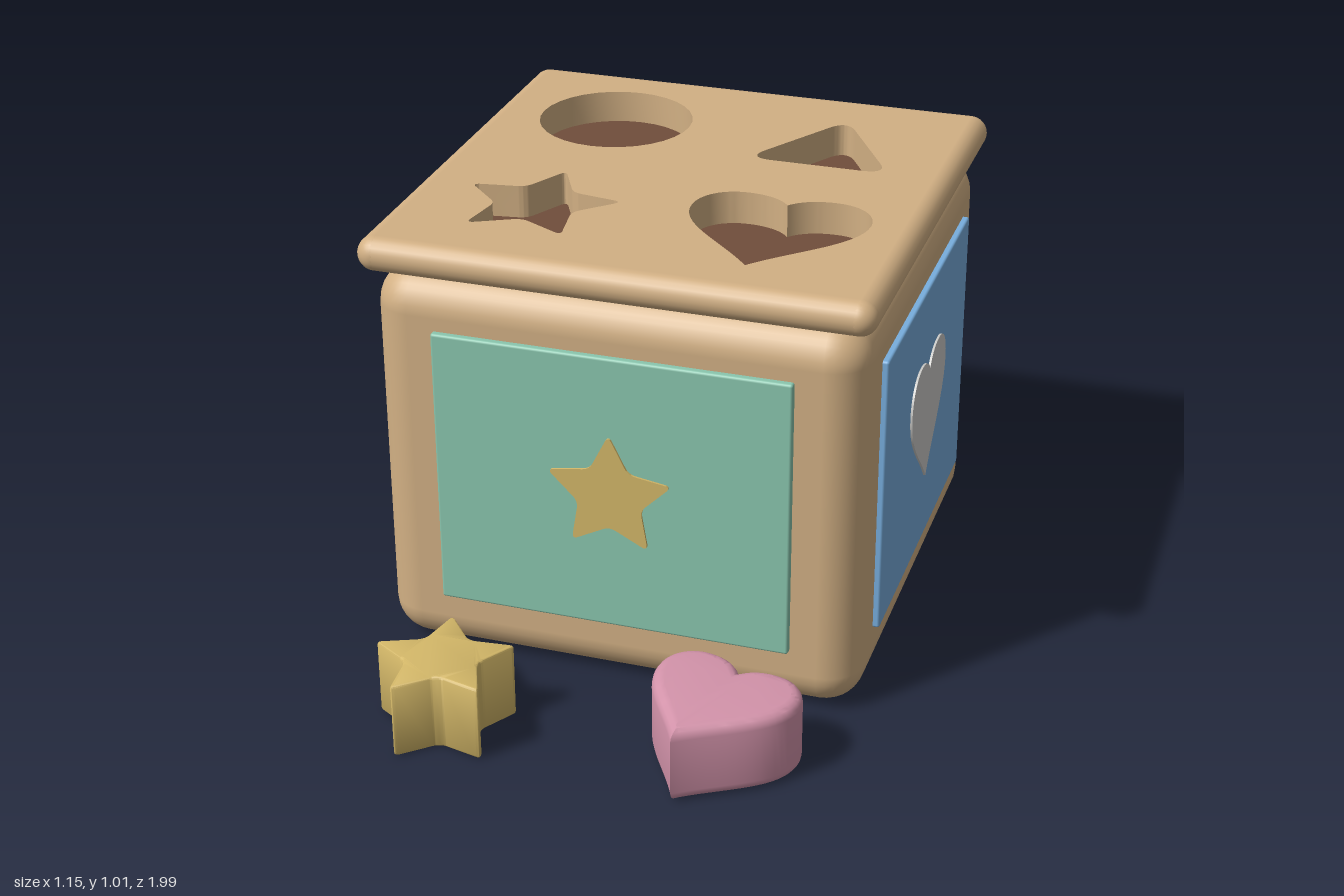
import * as THREE from 'three';
import { toCreasedNormals } from 'three/addons/utils/BufferGeometryUtils.js';
import { RoundedBoxGeometry } from 'three/addons/geometries/RoundedBoxGeometry.js';

const paint = (name, color) => {
  const m = new THREE.MeshStandardMaterial({ color });
  m.name = name;
  return m;
};

// closed outline through points, each corner cut back by d and rounded
function roundedOutline(points, d, type = THREE.Shape) {
  const s = new type();
  const n = points.length;
  points.forEach((p, i) => {
    const prev = points[(i + n - 1) % n], next = points[(i + 1) % n];
    const a = p.clone().add(prev.clone().sub(p).setLength(d));
    const b = p.clone().add(next.clone().sub(p).setLength(d));
    if (i === 0) s.moveTo(a.x, a.y); else s.lineTo(a.x, a.y);
    s.quadraticCurveTo(p.x, p.y, b.x, b.y);
  });
  s.closePath();
  return s;
}

function starShape(R, cx = 0, cy = 0, type) {
  const pts = [];
  for (let i = 0; i < 10; i++) {
    const r = i % 2 ? R * 0.53 : R * 1.05;
    const a = Math.PI / 2 + (i * Math.PI) / 5;
    pts.push(new THREE.Vector2(cx + r * Math.cos(a), cy + r * Math.sin(a)));
  }
  return roundedOutline(pts, R * 0.12, type);
}

// equilateral triangle standing on its base line
function triangleShape(side, cx = 0, base = 0, type) {
  const pts = [[-side / 2, 0], [side / 2, 0], [0, side * 0.866]];
  return roundedOutline(pts.map(([x, y]) => new THREE.Vector2(cx + x, base + y)), side * 0.19, type);
}

function heartShape(w, cx = 0, cy = 0, type = THREE.Shape) {
  const s = new type();
  const curve = (...c) => s.bezierCurveTo(...c.map((v, i) => v * w + (i % 2 ? cy : cx)));
  s.moveTo(cx, cy + 0.32 * w);
  curve(0.06, 0.40, 0.15, 0.43, 0.25, 0.43);
  curve(0.40, 0.43, 0.5, 0.32, 0.5, 0.18);
  curve(0.5, -0.08, 0.2, -0.25, 0, -0.5);
  curve(-0.2, -0.25, -0.5, -0.08, -0.5, 0.18);
  curve(-0.5, 0.32, -0.40, 0.43, -0.25, 0.43);
  curve(-0.15, 0.43, -0.06, 0.40, 0, 0.32);
  return s;
}

function circleShape(r, cx = 0, cy = 0, type = THREE.Shape) {
  const s = new type();
  s.absarc(cx, cy, r, 0, Math.PI * 2, false);
  return s;
}

// extrusion from z = 0 to z = depth, edges rounded inside the outline
function slab(shape, depth, bevel = 0) {
  const g = new THREE.ExtrudeGeometry(shape, {
    depth: depth - 2 * bevel, curveSegments: 16, bevelEnabled: bevel > 0,
    bevelThickness: bevel, bevelSize: bevel, bevelOffset: -bevel, bevelSegments: 4,
  });
  g.translate(0, 0, bevel);
  return toCreasedNormals(g, 0.65);
}

export function createModel() {
  const wood = paint('wood', 0xd2b084);
  const dark = paint('dark wood', 0x704e3b);
  const teal = paint('teal', 0x8ac6ae);
  const blue = paint('blue', 0x78aede);
  const yellow = paint('yellow', 0xd3b768);
  const pink = paint('pink', 0xd393aa);
  const red = paint('red', 0xd87268);
  const grey = paint('grey', 0xcdccc9);

  const model = new THREE.Group();
  model.name = 'shapeSorter';
  const add = (parent, name, geometry, material, x = 0, y = 0, z = 0) => {
    const m = new THREE.Mesh(geometry, material);
    m.name = name;
    m.position.set(x, y, z);
    parent.add(m);
    return m;
  };

  // box body, with the dark inside showing at the floor and under the lid holes
  const box = new THREE.Group();
  box.name = 'box';
  box.position.z = 0.01;
  model.add(box);
  add(box, 'body', new RoundedBoxGeometry(1.11, 0.928, 1.11, 4, 0.09), wood, 0, 0.466, 0);
  add(box, 'interior', new THREE.BoxGeometry(0.93, 0.934, 0.93), dark, 0, 0.467, 0);

  // lid board with four cut-outs
  const h = 0.535;
  const board = new THREE.Shape([[-h, -h], [h, -h], [h, h], [-h, h]].map(([x, y]) => new THREE.Vector2(x, y)));
  board.holes.push(
    circleShape(0.182, -0.267, 0.27, THREE.Path),
    triangleShape(0.335, 0.263, 0.13, THREE.Path),
    starShape(0.178, -0.267, -0.262, THREE.Path),
    heartShape(0.405, 0.263, -0.243, THREE.Path),
  );
  add(box, 'lid', slab(board, 0.08).rotateX(-Math.PI / 2), wood, 0, 0.93, 0);

  // rounded lid edges and the four side panels with their emblems
  const sides = [
    ['front', teal, yellow, starShape(0.142, 0, 0.48)],
    ['left', blue, grey, heartShape(0.34, 0, 0.495)],
    ['back', pink, grey, circleShape(0.168, 0, 0.48)],
    ['right', yellow, grey, triangleShape(0.27, 0, 0.37)],
  ];
  sides.forEach(([name, panelColor, emblemColor, shape], i) => {
    const side = new THREE.Group();
    side.name = name + 'Side';
    side.rotation.y = (i * Math.PI) / 2;
    box.add(side);
    const edge = new THREE.CapsuleGeometry(0.04, 2 * h, 8, 20).rotateZ(Math.PI / 2);
    add(side, 'lidEdge', edge, wood, 0, 0.97, h);
    add(side, 'panel', new RoundedBoxGeometry(0.81, 0.66, 0.03, 2, 0.006), panelColor, 0, 0.48, 0.555);
    add(side, 'emblem', slab(shape, 0.008), emblemColor, 0, 0, 0.567);
  });

  // loose blocks
  const flat = (g) => g.rotateX(-Math.PI / 2);
  add(model, 'cylinderBlock', flat(slab(circleShape(0.16), 0.22, 0.02)), red, -0.28, 0, -0.84);
  add(model, 'starBlock', flat(slab(starShape(0.157), 0.178, 0.008)), yellow, -0.295, 0, 0.845)
    .rotation.y = 0.25;
  add(model, 'heartBlock', flat(slab(heartShape(0.34), 0.178, 0.025)), pink, 0.306, 0, 0.81)
    .rotation.y = -0.25;
  const prism = slab(triangleShape(0.28), 0.18, 0.018).translate(0, 0, -0.09);
  add(model, 'triangleBlock', prism, teal, 0.295, 0, -0.755).rotation.y = -0.37;

  return model;
}
